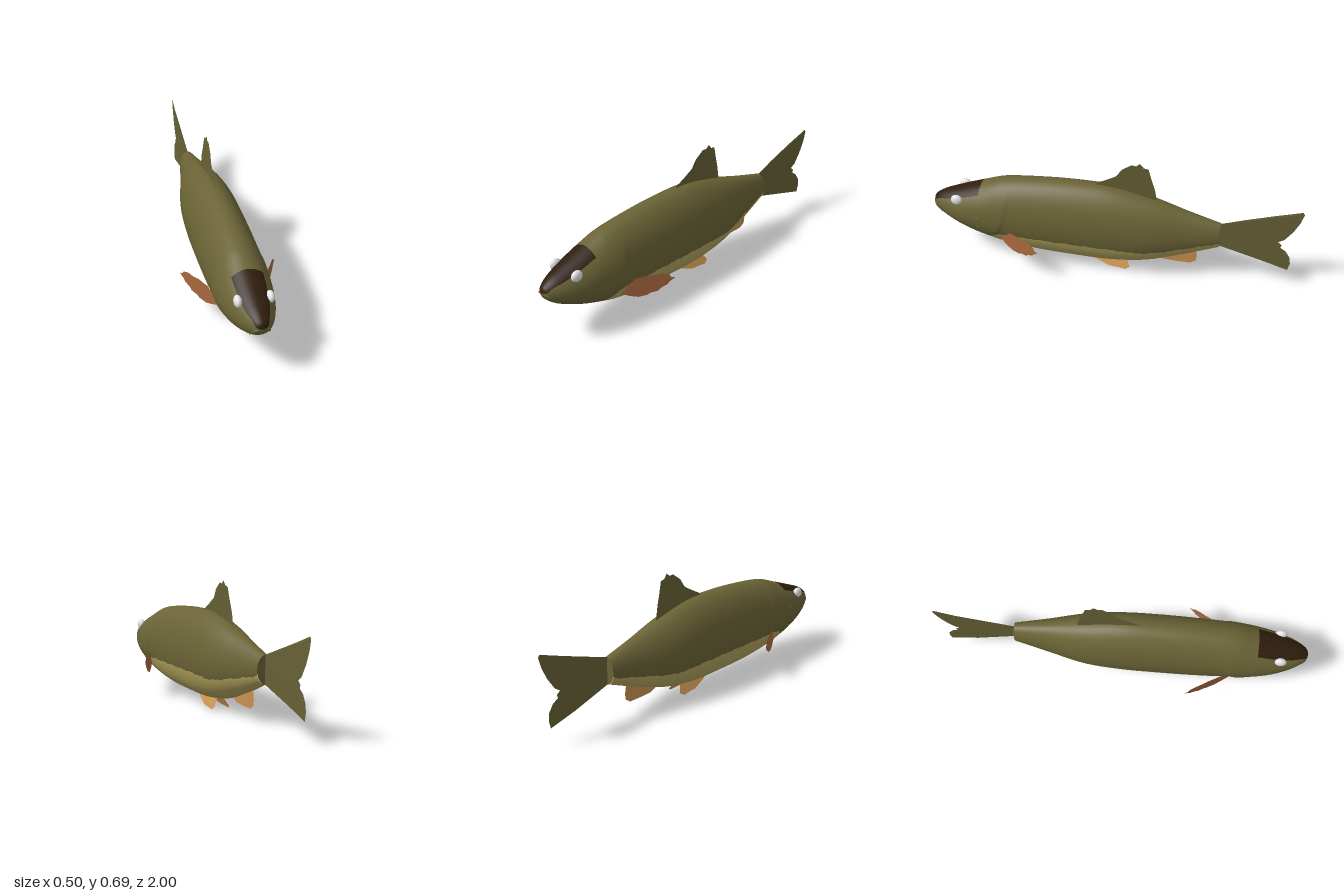
import * as THREE from 'three';

const mat = (name, color, side = THREE.FrontSide) => {
  const m = new THREE.MeshStandardMaterial({ color, side });
  m.name = name;
  return m;
};

// Body stations from tail to nose: z, top y, bottom y, half width
const STATIONS = [
  [-0.58, 0.36, 0.215, 0.045], [-0.4, 0.41, 0.145, 0.082], [-0.2, 0.47, 0.08, 0.125],
  [0, 0.513, 0.052, 0.141], [0.2, 0.518, 0.052, 0.144], [0.4, 0.507, 0.06, 0.143],
  [0.6, 0.482, 0.088, 0.139], [0.7, 0.447, 0.12, 0.135], [0.8, 0.41, 0.155, 0.119],
  [0.88, 0.38, 0.19, 0.095], [0.94, 0.356, 0.222, 0.068], [0.98, 0.332, 0.255, 0.04],
  [0.994, 0.317, 0.275, 0.022], [1, 0.297, 0.295, 0.001],
];
// Height of the belly colour border and of the head patch border along z
const BELLY = [[-0.58, 0.26], [-0.4, 0.222], [-0.2, 0.188], [0, 0.197], [0.5, 0.2],
  [0.62, 0.19], [0.68, 0.15], [0.72, 0.1]];
const CROWN = [[0.72, 0.405], [0.8, 0.378], [0.9, 0.345], [0.96, 0.325], [1, 0.297]];

// Smooth lookup of column c of a table sorted by z
function sample(table, z, c) {
  const n = table.length;
  let i = 0;
  while (i < n - 2 && z > table[i + 1][0]) i++;
  const slope = (k) => {
    const a = table[Math.max(k - 1, 0)], b = table[Math.min(k + 1, n - 1)];
    return (b[c] - a[c]) / (b[0] - a[0]);
  };
  const p = table[i], q = table[i + 1], d = q[0] - p[0];
  const s = (z - p[0]) / d, s2 = s * s, s3 = s2 * s;
  return (2 * s3 - 3 * s2 + 1) * p[c] + (s3 - 2 * s2 + s) * d * slope(i)
    + (3 * s2 - 2 * s3) * q[c] + (s3 - s2) * d * slope(i + 1);
}

// Point on the body skin at station z and angle t, with a raised gill cover edge
function skin(z, t) {
  const top = sample(STATIONS, z, 1), bottom = sample(STATIONS, z, 2);
  const w = sample(STATIONS, z, 3);
  const cy = (top + bottom) / 2, h = (top - bottom) / 2, s = Math.sin(t);
  const gill = 0.59 + 0.13 * Math.max(0, -s) ** 2 - 0.04 * s;
  const d = z - gill;
  const bump = 1 + 0.035 * Math.exp(-((d / (d > 0 ? 0.06 : 0.018)) ** 2)) * Math.cos(t) ** 2;
  return new THREE.Vector3(w * Math.cos(t) * (1 - 0.08 * s) * bump, cy + h * s, z);
}

// Angle on the right-hand half of a section at a given height
function angleAt(z, y) {
  const top = sample(STATIONS, z, 1), bottom = sample(STATIONS, z, 2);
  return Math.asin(THREE.MathUtils.clamp((2 * y - top - bottom) / (top - bottom), -1, 1));
}

// Patch of the skin between two stations and two angle rules
function skinPatch(z0, z1, from, to, rows, cols, ease = (s) => s) {
  const pos = [], nor = [], idx = [], e = 1e-3;
  for (let r = 0; r <= rows; r++) {
    const z = z0 + (z1 - z0) * ease(r / rows);
    const a = from(z), b = to(z);
    for (let c = 0; c <= cols; c++) {
      const t = a + ((b - a) * c) / cols;
      pos.push(...skin(z, t));
      const dt = skin(z, t + e).sub(skin(z, t - e));
      const dz = skin(Math.min(z + e, 1), t).sub(skin(Math.max(z - e, -0.58), t));
      nor.push(...dt.cross(dz).normalize());
      if (r < rows && c < cols) {
        const k = r * (cols + 1) + c, m = k + cols + 1;
        idx.push(k, k + 1, m, k + 1, m + 1, m);
      }
    }
  }
  const g = new THREE.BufferGeometry();
  g.setAttribute('position', new THREE.Float32BufferAttribute(pos, 3));
  g.setAttribute('normal', new THREE.Float32BufferAttribute(nor, 3));
  g.setIndex(idx);
  return g;
}

// Flat fin outline (u, v) placed in space by a rule
function fin(outline, place) {
  const g = new THREE.ShapeGeometry(new THREE.Shape(outline.map(([u, v]) => new THREE.Vector2(u, v))));
  const p = g.attributes.position;
  for (let i = 0; i < p.count; i++) p.setXYZ(i, ...place(p.getX(i), p.getY(i)));
  g.computeVertexNormals();
  return g;
}

export function createModel() {
  const fish = new THREE.Group();
  fish.name = 'fish';
  const olive = mat('olive skin', 0x6a6336);
  const oliveFin = mat('olive fin', 0x676136, THREE.DoubleSide);
  const pale = mat('pale belly', 0xb0a25c);
  const dark = mat('dark crown', 0x2f1e0d);
  const orange = mat('orange fin', 0xc8924f, THREE.DoubleSide);
  const rust = mat('rust fin', 0xa9693f, THREE.DoubleSide);
  const white = mat('eye white', 0xe4e4e6);
  const add = (name, geo, material, parent = fish) => {
    const m = new THREE.Mesh(geo, material);
    m.name = name;
    parent.add(m);
    return m;
  };

  // Body: back, belly, head and dark crown share one skin
  const PI = Math.PI;
  const belly = (z) => angleAt(z, sample(BELLY, z, 1) + 0.004 * Math.sin(z * 90) * Math.sin(z * 37));
  const crown = (z) => angleAt(z, sample(CROWN, z, 1));
  const noseEase = (s) => Math.sin((s * PI) / 2);
  add('back', skinPatch(-0.58, 0.72, belly, (z) => PI - belly(z), 130, 48), olive);
  add('belly', skinPatch(-0.58, 0.72, (z) => PI - belly(z), (z) => 2 * PI + belly(z), 130, 32), pale);
  add('head', skinPatch(0.72, 1, (z) => PI - crown(z), (z) => 2 * PI + crown(z), 50, 48, noseEase), olive);
  add('crown', skinPatch(0.72, 1, crown, (z) => PI - crown(z), 50, 24, noseEase), dark);

  // Closed tail end of the body
  const stump = add('tailRoot', new THREE.CircleGeometry(1, 32), olive);
  stump.scale.set(0.045, 0.0725, 1);
  stump.position.set(0, 0.2875, -0.58);
  stump.rotation.y = PI;

  // Downturned lip
  const half = [[0.945, -0.85], [0.968, -0.6], [0.985, -0.3]].map(([z, t]) => skin(z, t));
  const lip = [...half, new THREE.Vector3(0, 0.298, 0.994),
    ...half.map((p) => new THREE.Vector3(-p.x, p.y, p.z)).reverse()];
  add('lip', new THREE.TubeGeometry(new THREE.CatmullRomCurve3(lip), 40, 0.005, 8), olive);

  // Fins on the centre line, outlined as (z, y)
  add('dorsalFin', fin([[0.1, 0.5], [0.09, 0.528], [0.03, 0.56], [-0.02, 0.59], [-0.05, 0.638],
    [-0.08, 0.66], [-0.1, 0.675], [-0.125, 0.672], [-0.145, 0.69], [-0.165, 0.665], [-0.19, 0.66],
    [-0.205, 0.6], [-0.225, 0.53], [-0.24, 0.44]],
  (z, y) => [Math.max(0, y - 0.5) * 0.06, y, z]), oliveFin);
  add('tailFin', fin([[-0.57, 0.358], [-0.7, 0.402], [-0.85, 0.452], [-0.992, 0.5], [-1, 0.485],
    [-0.985, 0.43], [-0.955, 0.365], [-0.915, 0.305], [-0.885, 0.285], [-0.905, 0.268], [-0.9, 0.25],
    [-0.93, 0.23], [-0.955, 0.19], [-0.96, 0.15], [-0.95, 0.106], [-0.8, 0.148], [-0.57, 0.217]],
  (z, y) => [0.006 * Math.sin((z + 0.58) * 7.5), y, z]), oliveFin);
  add('analFin', fin([[-0.24, 0.1], [-0.25, 0.085], [-0.28, 0.072], [-0.35, 0.068], [-0.43, 0.068],
    [-0.46, 0.088], [-0.465, 0.12], [-0.455, 0.18]], (z, y) => [0, y, z]), orange);

  // Paired parts
  for (const side of [1, -1]) {
    const pair = new THREE.Group();
    pair.name = side > 0 ? 'leftSide' : 'rightSide';
    fish.add(pair);

    const eye = add('eye', new THREE.SphereGeometry(1, 24, 16), white, pair);
    eye.scale.set(0.02, 0.03, 0.032);
    eye.position.set(side * 0.079, 0.358, 0.845);

    // Pectoral fin outlined as (x, y), swept backwards
    add('pectoralFin', fin([[0.105, 0.165], [0.125, 0.2], [0.142, 0.215], [0.145, 0.23], [0.162, 0.232],
      [0.18, 0.238], [0.2, 0.232], [0.218, 0.236], [0.235, 0.225], [0.24, 0.208], [0.25, 0.202],
      [0.236, 0.183], [0.23, 0.168], [0.212, 0.152], [0.206, 0.138], [0.186, 0.134], [0.178, 0.124],
      [0.155, 0.12], [0.135, 0.132], [0.115, 0.15]],
    (x, y) => [side * x, y, 0.6 - (x - 0.11) * 1.75]), rust, pair);

    // Pelvic fin outlined as (z, y), splayed outwards
    add('pelvicFin', fin([[0.15, 0.062], [0.08, 0.035], [0.01, 0.011], [-0.04, 0.008], [-0.08, 0.003],
      [-0.105, 0.018], [-0.092, 0.04], [-0.085, 0.066]],
    (z, y) => [side * (0.05 - (y - 0.005) * 0.55), y, z]), orange, pair);
  }
  return fish;
}
